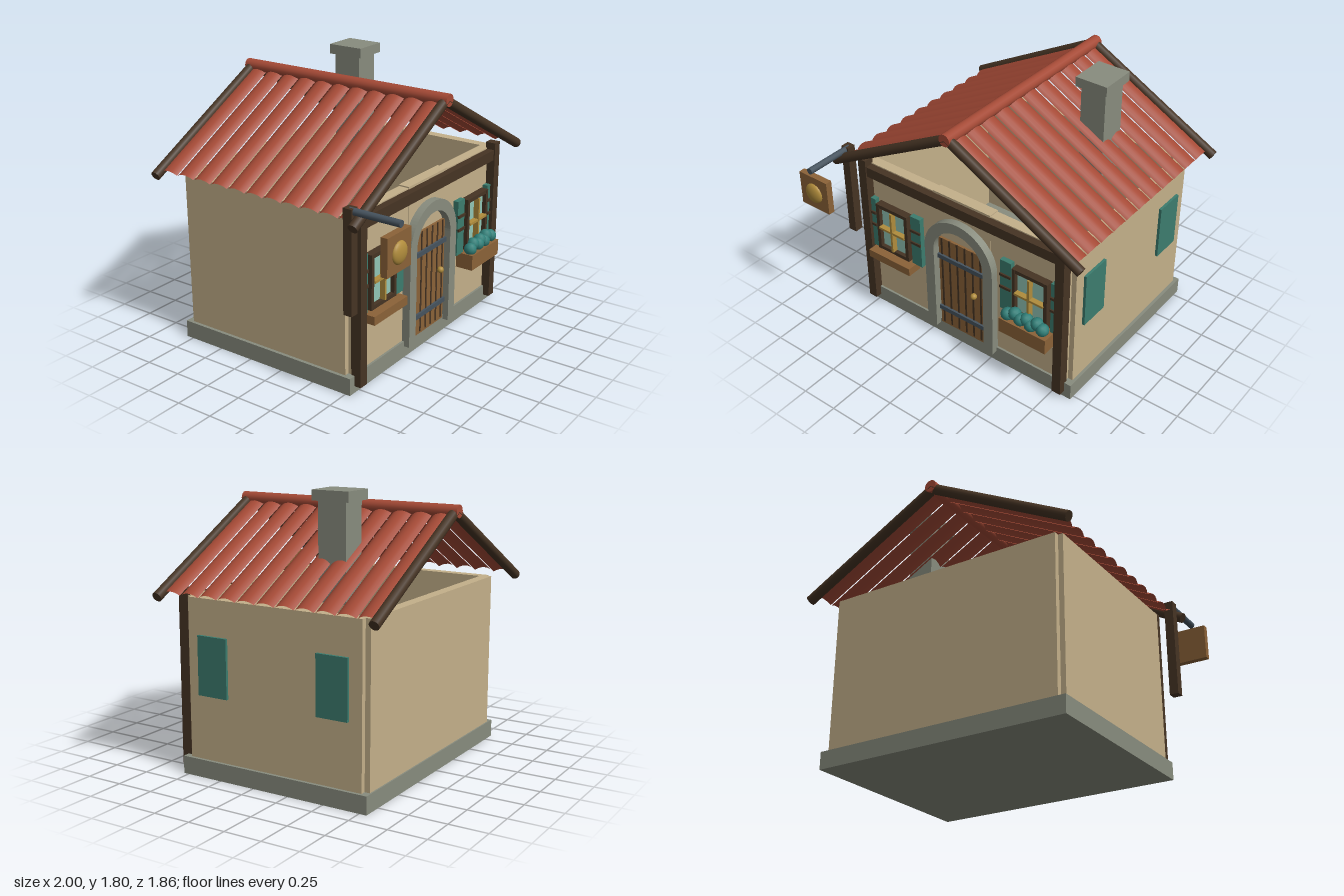
import * as THREE from 'three';

const material = (name, color, side = THREE.FrontSide) => {
  const m = new THREE.MeshStandardMaterial({ color, side });
  m.name = name;
  return m;
};

export function createModel() {
  const plaster = material('plaster', 0xc4b08a);
  const stone = material('stone', 0x888c7e);
  const darkWood = material('dark wood', 0x463424);
  const wood = material('wood', 0x8b6238);
  const clay = material('clay tile', 0xa54a36, THREE.DoubleSide);
  const teal = material('shutter teal', 0x3c7c6e);
  const leaf = material('leaf', 0x2f7f78);
  const glass = material('glass', 0x92c6b6);
  const iron = material('iron', 0x46535e);
  const gold = material('gold', 0xb08c3c);

  const model = new THREE.Group();
  model.name = 'cottage';
  const CX = 0.02; // middle of the house
  const CZ = -0.1345; // middle of the roof

  const add = (name, geometry, mat, parent = model) => {
    const mesh = new THREE.Mesh(geometry, mat);
    mesh.name = name;
    parent.add(mesh);
    return mesh;
  };
  // Box given by its lower and upper limits on each axis
  const box = (name, mat, x0, x1, y0, y1, z0, z1, parent = model) => {
    const mesh = add(name, new THREE.BoxGeometry(x1 - x0, y1 - y0, z1 - z0), mat, parent);
    mesh.position.set((x0 + x1) / 2, (y0 + y1) / 2, (z0 + z1) / 2);
    return mesh;
  };

  // Foundation and open-topped walls with notched corners
  box('foundation', stone, -0.845, 0.885, 0, 0.115, -0.8, 0.535);
  box('backWall', plaster, -0.79, 0.83, 0.1, 1.14, -0.79, -0.72);
  box('rightWall', plaster, -0.823, -0.755, 0.1, 1.14, -0.755, 0.485);
  box('leftWall', plaster, 0.795, 0.864, 0.1, 1.14, -0.755, 0.485);
  box('frontWallRight', plaster, -0.79, -0.205, 0.1, 1.14, 0.45, 0.52);
  box('frontWallLeft', plaster, 0.245, 0.83, 0.1, 1.14, 0.45, 0.52);
  box('wallAboveDoor', plaster, -0.207, 0.247, 0.8, 1.148, 0.447, 0.523);

  // Timber posts and beam on the front
  for (const s of [-1, 1]) {
    const x = CX + s * 0.784;
    box('frontPost', darkWood, x - 0.032, x + 0.032, 0.045, 1.18, 0.51, 0.58);
  }
  box('frontBeam', darkWood, -0.74, 0.78, 1.06, 1.132, 0.505, 0.572);

  // Stone door arch
  const arch = new THREE.Shape();
  arch.moveTo(0.275, 0.08);
  arch.lineTo(0.275, 0.725);
  arch.absarc(0, 0.725, 0.275, 0, Math.PI, false);
  arch.lineTo(-0.275, 0.08);
  arch.lineTo(-0.2, 0.08);
  arch.lineTo(-0.2, 0.725);
  arch.absarc(0, 0.725, 0.2, Math.PI, 0, true);
  arch.lineTo(0.2, 0.08);
  arch.closePath();
  add('doorArch', new THREE.ExtrudeGeometry(arch, { depth: 0.115, bevelEnabled: false, curveSegments: 20 }), stone)
    .position.set(CX, 0, 0.46);

  // Plank door
  const door = new THREE.Group();
  door.name = 'door';
  model.add(door);
  box('doorSlab', wood, -0.165, 0.205, 0.1, 0.815, 0.48, 0.54, door);
  for (let i = 0; i < 6; i++) {
    const x = CX + (i - 2.5) * 0.063;
    box('plankGap', darkWood, x - 0.007, x + 0.007, 0.115, 0.815, 0.536, 0.543, door);
  }
  for (const y of [0.24, 0.672]) box('doorBand', iron, -0.165, 0.205, y - 0.016, y + 0.016, 0.53, 0.556, door);
  add('doorKnob', new THREE.SphereGeometry(0.022, 16, 12), gold, door).position.set(0.133, 0.48, 0.56);

  // Windows with crossbars and shutters
  for (const x of [-0.54, 0.58]) {
    const win = new THREE.Group();
    win.name = 'window';
    win.position.set(x, 0.69, 0);
    model.add(win);
    box('windowPane', glass, -0.12, 0.12, -0.165, 0.165, 0.51, 0.545, win);
    for (const s of [-1, 1]) {
      box('frameSide', darkWood, s * 0.121 - 0.013, s * 0.121 + 0.013, -0.18, 0.18, 0.51, 0.573, win);
      box('frameRail', darkWood, -0.134, 0.134, s * 0.167 - 0.013, s * 0.167 + 0.013, 0.51, 0.572, win);
      box('shutter', teal, s * 0.193 - 0.042, s * 0.193 + 0.042, -0.19, 0.195, 0.515, 0.556, win);
      for (const y of [-0.01, 0.086]) {
        box('shutterBar', darkWood, s * 0.193 - 0.042, s * 0.193 + 0.042, y - 0.009, y + 0.009, 0.55, 0.566, win);
      }
    }
    box('crossbarUpright', gold, -0.008, 0.008, -0.155, 0.155, 0.54, 0.584, win);
    box('crossbarLevel', gold, -0.109, 0.109, -0.008, 0.008, 0.54, 0.583, win);
  }
  box('windowSill', wood, -0.717, -0.36, 0.445, 0.502, 0.515, 0.625);
  box('flowerBox', wood, 0.4, 0.757, 0.395, 0.502, 0.515, 0.645);
  [[0.44, 0.53], [0.49, 0.55], [0.54, 0.535], [0.58, 0.55], [0.62, 0.53], [0.66, 0.555], [0.708, 0.54]]
    .forEach(([x, y], i) => {
      add('bush', new THREE.IcosahedronGeometry(0.044, 1), leaf).position.set(x, y, i % 2 ? 0.595 : 0.605);
    });

  // Shutters on the left wall
  box('sideShutterFront', teal, 0.85, 0.882, 0.53, 0.91, 0.19, 0.405);
  box('sideShutterBack', teal, 0.85, 0.882, 0.53, 0.91, -0.668, -0.453);

  // Roof slopes: rows of shallow curved tiles between two log rafters
  const pitch = 1.525 / 11;
  const R = 0.097, half = 0.735, tileLength = 1.042;
  const tileGeometry = new THREE.CylinderGeometry(R, R, tileLength, 6, 1, true, Math.PI * 1.5 - half, half * 2)
    .rotateZ(-Math.PI / 2).translate(tileLength / 2, 0.012 - R, 0);
  const rafterGeometry = new THREE.CylinderGeometry(0.033, 0.033, 1.096, 16)
    .rotateZ(-Math.PI / 2).translate(0.548, 0, 0);
  for (const turn of [0, Math.PI]) {
    const side = new THREE.Group();
    side.name = 'roofSide';
    side.position.set(CX, 1.66, CZ);
    side.rotation.y = turn;
    model.add(side);
    const slope = new THREE.Group();
    slope.name = 'roofSlope';
    slope.rotation.z = -0.494;
    side.add(slope);
    for (let i = 0; i < 11; i++) add('tileRow', tileGeometry, clay, slope).position.z = (i - 5) * pitch;
    for (const s of [-1, 1]) add('rafter', rafterGeometry, darkWood, slope).position.z = s * 0.7625;
  }
  add('ridge', new THREE.CylinderGeometry(0.041, 0.041, 1.59, 16).rotateX(Math.PI / 2), clay)
    .position.set(CX, 1.665, CZ);

  // Chimney
  box('chimneyStack', stone, 0.358, 0.536, 1.13, 1.745, -0.447, -0.253);
  box('chimneyCap', stone, 0.333, 0.561, 1.74, 1.805, -0.476, -0.222);

  // Hanging board on its post
  box('signPost', darkWood, -0.915, -0.855, 0.575, 1.24, 0.54, 0.6);
  add('signRod', new THREE.CylinderGeometry(0.022, 0.022, 0.35, 12).rotateX(Math.PI / 2), iron)
    .position.set(-0.885, 1.22, 0.74);
  box('signBoard', wood, -1, -0.763, 0.93, 1.167, 0.855, 0.9);
  const disc = add('signDisc', new THREE.SphereGeometry(0.07, 24, 16), gold);
  disc.position.set(-0.882, 1.047, 0.9);
  disc.scale.z = 0.42;

  return model;
}
